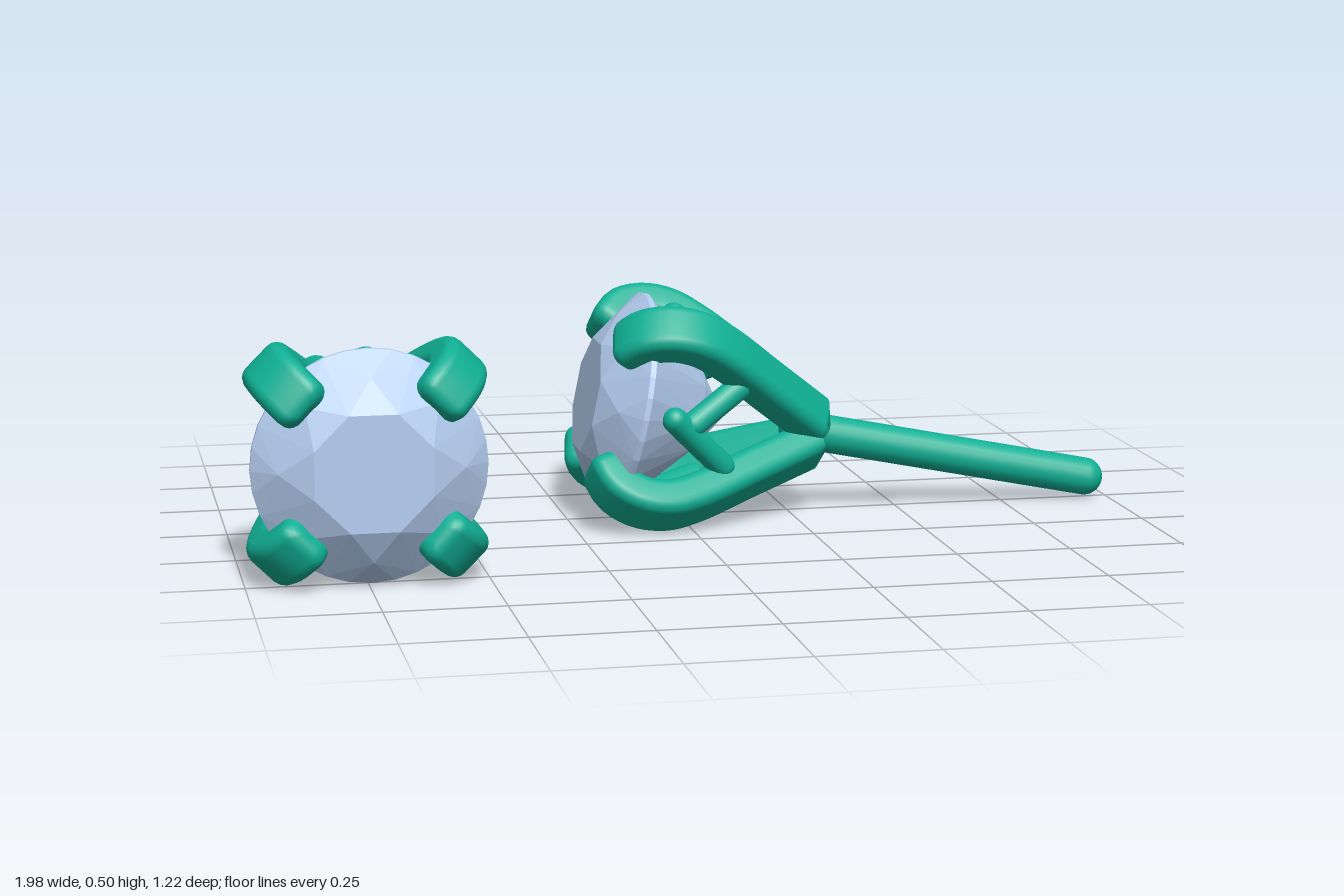
import * as THREE from 'three';
import { ConvexGeometry } from 'three/addons/geometries/ConvexGeometry.js';

const metal = new THREE.MeshStandardMaterial({ color: 0x10b095 });
const gem = new THREE.MeshStandardMaterial({ color: 0xb4cdf0, flatShading: true });

function mesh(name, geometry, material = metal) {
  const m = new THREE.Mesh(geometry, material);
  m.name = name;
  return m;
}

// Rounded rectangle outline as [width, thickness] pairs
function section(w, t, r) {
  const pts = [];
  for (const [sx, sy, a0] of [[1, 1, 0], [-1, 1, 1], [-1, -1, 2], [1, -1, 3]]) {
    for (let i = 0; i <= 4; i++) {
      const a = (a0 + i / 4) * Math.PI / 2;
      pts.push([sx * (w / 2 - r) + r * Math.cos(a), sy * (t / 2 - r) + r * Math.sin(a)]);
    }
  }
  return pts;
}

// Prong in the x-z plane: x is the distance from the axis, flat cut root, rounded tip
function prongGeometry() {
  const curve = new THREE.CatmullRomCurve3([
    [0.03, 0.08], [0.135, 0.228], [0.23, 0.362], [0.262, 0.43],
    [0.263, 0.49], [0.238, 0.54], [0.2, 0.563],
  ].map(([x, z]) => new THREE.Vector3(x, 0, z)));
  const outline = section(0.115, 0.085, 0.027);
  const n = outline.length, steps = 36, pos = [], idx = [];
  let rings = 0;
  const ring = (c, nx, nz, scaleW, scaleT) => {
    for (const [w, t] of outline) {
      pos.push(c.x + nx * t * scaleT, w * scaleW, c.z + nz * t * scaleT);
    }
    rings++;
  };
  for (let i = 0; i <= steps; i++) {
    const c = curve.getPointAt(i / steps), d = curve.getTangentAt(i / steps);
    if (i === 0) ring(c, 1, 0, 1, 1 / d.z);
    else ring(c, d.z, -d.x, 1, 1);
  }
  const end = curve.getPointAt(1), dir = curve.getTangentAt(1);
  for (let i = 1; i <= 5; i++) {
    const a = i / 5 * Math.PI / 2;
    const s = 0.4 + 0.6 * Math.cos(a);
    ring(end.clone().addScaledVector(dir, 0.03 * Math.sin(a)), dir.z, -dir.x, s, s);
  }
  for (let i = 0; i < rings - 1; i++) {
    for (let j = 0; j < n; j++) {
      const a = i * n + j, b = i * n + (j + 1) % n;
      idx.push(a, a + n, b, b, a + n, b + n);
    }
  }
  // End caps; the root repeats its ring to keep a sharp edge
  const last = (rings - 1) * n, root = rings * n;
  for (let k = 0; k < n * 3; k++) pos.push(pos[k]);
  for (let j = 1; j < n - 1; j++) {
    idx.push(last, last + j + 1, last + j);
    idx.push(root, root + j, root + j + 1);
  }
  const g = new THREE.BufferGeometry();
  g.setAttribute('position', new THREE.Float32BufferAttribute(pos, 3));
  g.setIndex(idx);
  g.computeVertexNormals();
  return g;
}

// Round brilliant: table, crown, girdle, pavilion and culet
function stoneGeometry() {
  const pts = [new THREE.Vector3(0, 0, 0.295)];
  const addRing = (count, r, z, turn) => {
    for (let i = 0; i < count; i++) {
      const a = (i + turn) / count * Math.PI * 2;
      pts.push(new THREE.Vector3(r * Math.cos(a), r * Math.sin(a), z));
    }
  };
  addRing(8, 0.13, 0.61, 0.5);
  addRing(8, 0.19, 0.574, 0);
  addRing(32, 0.242, 0.527, 0);
  addRing(32, 0.242, 0.515, 0);
  addRing(8, 0.1, 0.365, 0);
  return new ConvexGeometry(pts);
}

// Round-ended bar between two points
function bar(name, a, b, r) {
  const from = new THREE.Vector3(...a), to = new THREE.Vector3(...b);
  const d = to.clone().sub(from);
  const m = mesh(name, new THREE.CapsuleGeometry(r, d.length(), 8, 20));
  m.position.copy(from).add(to).multiplyScalar(0.5);
  m.quaternion.setFromUnitVectors(new THREE.Vector3(0, 1, 0), d.normalize());
  return m;
}

// One stud with its axis on z, stone toward +z and post toward -z
function createStud(name) {
  const stud = new THREE.Group();
  stud.name = name;
  stud.add(mesh('stone', stoneGeometry(), gem));
  stud.add(bar('post', [0, 0, -0.567], [0, 0, 0.12], 0.043));
  const prong = prongGeometry();
  for (let i = 0; i < 4; i++) {
    const p = mesh('prong', prong);
    p.rotation.z = Math.PI / 4 + i * Math.PI / 2;
    stud.add(p);

    // Forked brace between neighbouring prongs
    const brace = new THREE.Group();
    brace.name = 'brace';
    brace.add(bar('longBrace', [-0.085, 0.155, 0.315], [0.005, 0.205, 0.45], 0.028));
    brace.add(bar('shortBrace', [0.09, 0.155, 0.315], [0, 0.19, 0.405], 0.028));
    brace.rotation.z = i * Math.PI / 2;
    stud.add(brace);
  }
  return stud;
}

export function createModel() {
  const model = new THREE.Group();
  model.name = 'studEarrings';

  const first = createStud('frontFacingStud');
  first.position.set(-0.745, 0.258, 0);

  // Mirrored partner turned sideways, its post tilted down
  const second = createStud('sideFacingStud');
  second.scale.x = -1;
  second.rotation.set(0, -Math.PI / 2, -0.2, 'ZYX');
  second.position.set(0.392, 0.17, 0);

  model.add(first, second);
  return model;
}
